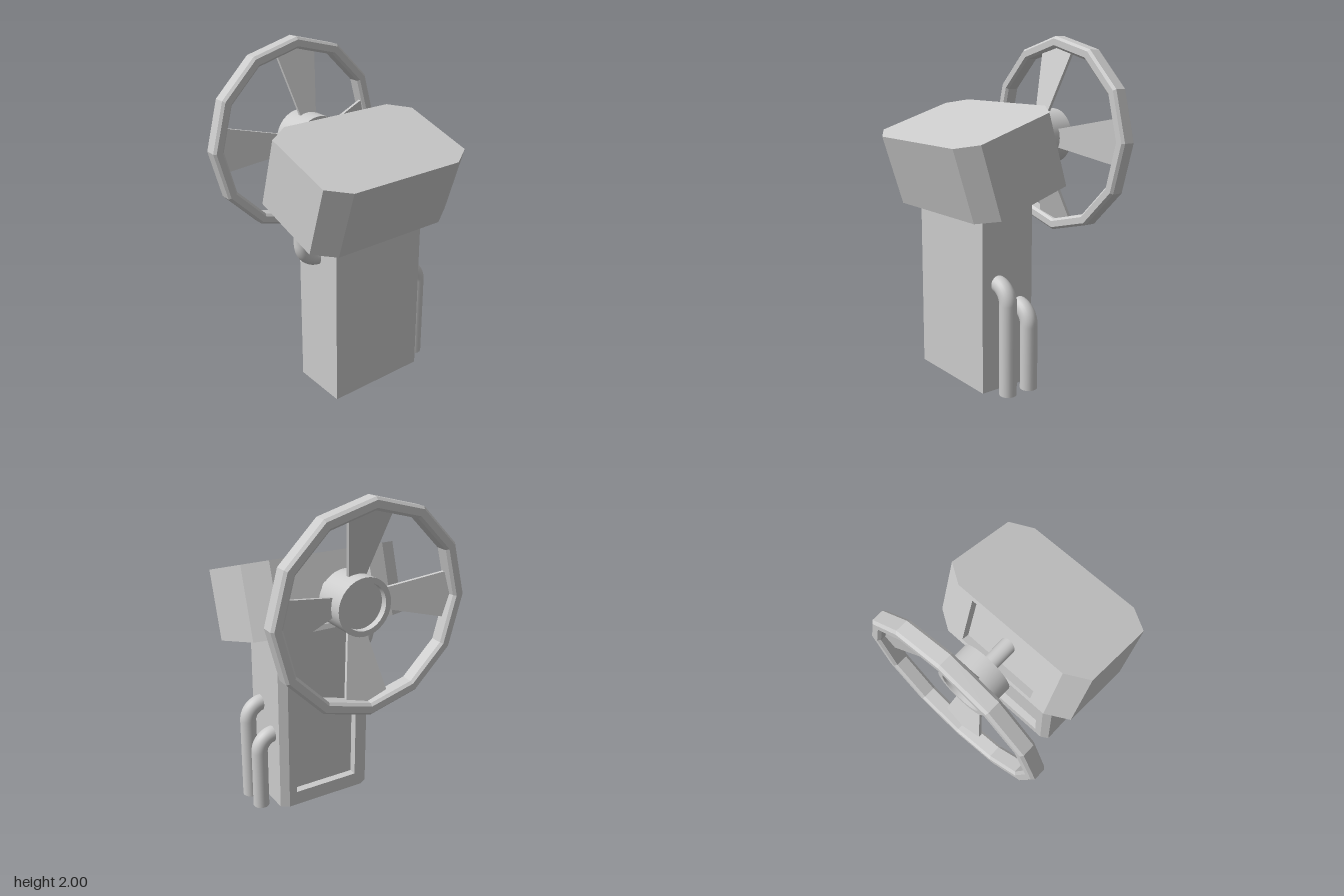
import * as THREE from 'three';
import { toCreasedNormals } from 'three/addons/utils/BufferGeometryUtils.js';

const WHEEL_Y = 1.397;

export function createModel() {
  const model = new THREE.Group();
  model.name = 'valveStand';
  const grey = new THREE.MeshStandardMaterial({ color: 0xcccccc });
  const flat = new THREE.MeshStandardMaterial({ color: 0xcccccc, flatShading: true });

  function add(parent, name, geometry, material = grey) {
    const mesh = new THREE.Mesh(geometry, material);
    mesh.name = name;
    parent.add(mesh);
    return mesh;
  }

  // Stacked prism of a symmetric plan, with a pocket cut into its -x face.
  // half: plan points (x, z) on the +z side, starting on the -x face.
  function pocketBlock(name, half, pocketZ, depth, levels) {
    const group = new THREE.Group();
    group.name = name;
    const x0 = half[0][0];
    const notch = [[x0 + depth, pocketZ], [x0, pocketZ]];
    const labels = ['Base', 'Middle', 'Top'];
    for (let i = 0; i < 3; i++) {
      const side = i === 1 ? [...notch, ...half] : half;
      const mirrored = side.map(([x, z]) => [x, -z]).reverse();
      const shape = new THREE.Shape([...side, ...mirrored].map(([x, z]) => new THREE.Vector2(x, z)));
      const geo = new THREE.ExtrudeGeometry(shape, { depth: levels[i + 1] - levels[i], bevelEnabled: false });
      geo.rotateX(-Math.PI / 2).translate(0, levels[i], 0);
      add(group, name + labels[i], geo);
    }
    model.add(group);
    return group;
  }

  // Post, chamfered on the wheel side
  pocketBlock('post', [[-0.06, 0.265], [-0.03, 0.315], [0.32, 0.315]], 0.215, 0.05, [0, 0.09, 1.1, 1.18]);

  // Tilted head with cut corners
  const head = pocketBlock('head',
    [[0, 0.37], [0.087, 0.503], [0.558, 0.503], [0.645, 0.37]], 0.262, 0.05, [0, 0.03, 0.4, 0.43]);
  head.position.set(-0.2, 1.205, 0);
  head.rotation.z = -0.307;

  // Wheel: everything turns about the x axis
  const wheel = new THREE.Group();
  wheel.name = 'handwheel';
  wheel.position.y = WHEEL_Y;
  model.add(wheel);

  // Profiles are [radius, x]
  const lathe = (profile, sides) =>
    new THREE.LatheGeometry(profile.map(([r, x]) => new THREE.Vector2(r, x)), sides).rotateZ(-Math.PI / 2);

  const rim = [[0.59, -0.55], [0.605, -0.535], [0.605, -0.465], [0.59, -0.45],
    [0.55, -0.45], [0.535, -0.465], [0.535, -0.535], [0.55, -0.55], [0.59, -0.55]];
  add(wheel, 'rim', lathe(rim, 12), flat);

  const hub = [[0, -0.42], [0.135, -0.42], [0.135, -0.46], [0.167, -0.46], [0.167, -0.255], [0, -0.255]];
  add(wheel, 'hub', toCreasedNormals(lathe(hub, 32), 0.6));

  const shaft = new THREE.CylinderGeometry(0.048, 0.048, 0.3, 24).rotateZ(Math.PI / 2);
  add(wheel, 'shaft', shaft.translate(-0.13, 0, 0));

  // Spokes flare outwards and lean towards the rim
  const spoke = new THREE.BoxGeometry(1, 1, 1);
  const p = spoke.attributes.position;
  for (let i = 0; i < p.count; i++) {
    const t = p.getY(i) + 0.5;
    p.setXYZ(i,
      THREE.MathUtils.lerp(-0.365, -0.5, t) + p.getX(i) * 0.02,
      THREE.MathUtils.lerp(0.14, 0.555, t),
      p.getZ(i) * 2 * THREE.MathUtils.lerp(0.053, 0.145, t));
  }
  spoke.computeVertexNormals();
  for (let k = 0; k < 4; k++) add(wheel, 'spoke', spoke).rotation.x = k * Math.PI / 2;

  // Bent pipe: out of the post at height y, then up or down to endY
  function pipe(name, x, y, endY, side) {
    const v = (z, h) => new THREE.Vector3(x, h, side * z);
    const dir = Math.sign(endY - y);
    const r = 0.1, k = 0.45 * r, zIn = 0.305, zOut = zIn + r;
    const path = new THREE.CurvePath();
    path.add(new THREE.LineCurve3(v(0.27, y), v(zIn, y)));
    path.add(new THREE.CubicBezierCurve3(v(zIn, y), v(zOut - k, y), v(zOut, y + dir * k), v(zOut, y + dir * r)));
    path.add(new THREE.LineCurve3(v(zOut, y + dir * r), v(zOut, endY)));
    add(model, name, new THREE.TubeGeometry(path, 64, 0.05, 20));
    const cap = new THREE.CircleGeometry(0.05, 20).rotateX(-dir * Math.PI / 2);
    add(model, name + 'End', cap.translate(x, endY, side * zOut));
  }
  pipe('tallPipe', 0.21, 0.63, 0, -1);
  pipe('shortPipe', 0.06, 0.48, 0, -1);
  pipe('elbowPipe', 0.13, 0.89, 1.2, 1);

  return model;
}
